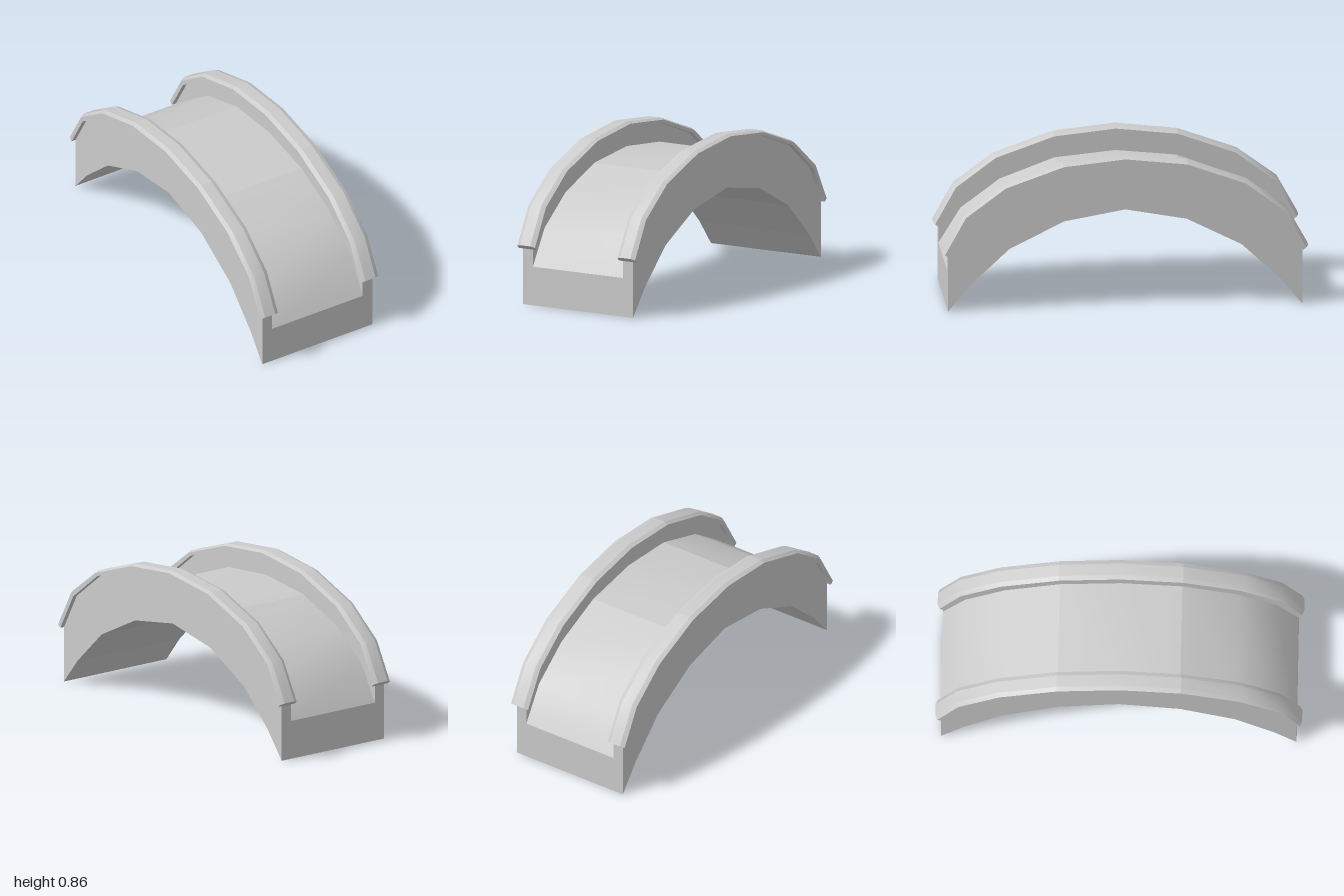
import * as THREE from 'three';
import { mergeGeometries } from 'three/addons/utils/BufferGeometryUtils.js';

// Half profiles [z, y] from the front end to the crown
const under = [[0.97, 0], [0.85, 0.145], [0.635, 0.345], [0.335, 0.495], [0, 0.555]];
const deckTop = [[0.97, 0.215], [0.85, 0.41], [0.635, 0.57], [0.335, 0.683], [0, 0.717]];
const railLow = [[0.97, 0.31], [0.855, 0.515], [0.64, 0.68], [0.335, 0.79], [0, 0.825]];
const railTop = [[1, 0.333], [0.885, 0.54], [0.665, 0.702], [0.34, 0.817], [0, 0.855]];
const railEdge = railLow.map(([z, y], i) => [z + (railTop[i][0] - z) * 0.65, y + (railTop[i][1] - y) * 0.65]);

const FACETED = [0, 1, 2, 3, 4, 5, 6, 7, 8];
const SMOOTH = [0, 3, 5, 8]; // smooth runs, creased beside the crown

// Point i (0 front .. 8 back) on a mirrored half profile
function at([x, profile], i) {
  const [z, y] = profile[i <= 4 ? i : 8 - i];
  return [x, y, i <= 4 ? z : -z];
}

function patch(points, index) {
  const g = new THREE.BufferGeometry();
  g.setAttribute('position', new THREE.Float32BufferAttribute(points.flat(), 3));
  g.setIndex(index);
  g.computeVertexNormals();
  return g;
}

// Sweep a convex section of [x, profile] corners, counter-clockwise from the front
function sweep(name, section) {
  const parts = [];
  section.forEach((p, k) => {
    const q = section[(k + 1) % section.length];
    const runs = p[1] === under && q[1] === under ? FACETED : SMOOTH;
    for (let r = 0; r + 1 < runs.length; r++) {
      const points = [], index = [];
      for (let i = runs[r]; i <= runs[r + 1]; i++) {
        const a = points.length;
        points.push(at(p, i), at(q, i));
        if (i < runs[r + 1]) index.push(a, a + 2, a + 1, a + 1, a + 2, a + 3);
      }
      parts.push(patch(points, index));
    }
  });
  // End faces
  for (const i of [0, 8]) {
    const index = [];
    for (let k = 1; k + 1 < section.length; k++) index.push(0, ...(i === 0 ? [k, k + 1] : [k + 1, k]));
    parts.push(patch(section.map(c => at(c, i)), index));
  }
  const mesh = new THREE.Mesh(mergeGeometries(parts), new THREE.MeshStandardMaterial({ color: 0xcccccc }));
  mesh.name = name;
  return mesh;
}

const slab = (name, x0, x1, low, top) => sweep(name, [[x0, low], [x1, low], [x1, top], [x0, top]]);

// Coping with bevelled upper edges
const coping = (name, x0, x1) => sweep(name, [
  [x0, railLow], [x1, railLow], [x1, railEdge],
  [x1 - 0.024, railTop], [x0 + 0.024, railTop], [x0, railEdge],
]);

export function createModel() {
  const bridge = new THREE.Group();
  bridge.name = 'archBridge';
  bridge.add(
    slab('deck', -0.29, 0.29, under, deckTop),
    slab('leftWall', 0.29, 0.353, under, railLow),
    slab('rightWall', -0.353, -0.29, under, railLow),
    coping('leftCoping', 0.265, 0.378),
    coping('rightCoping', -0.378, -0.265),
  );
  return bridge;
}
